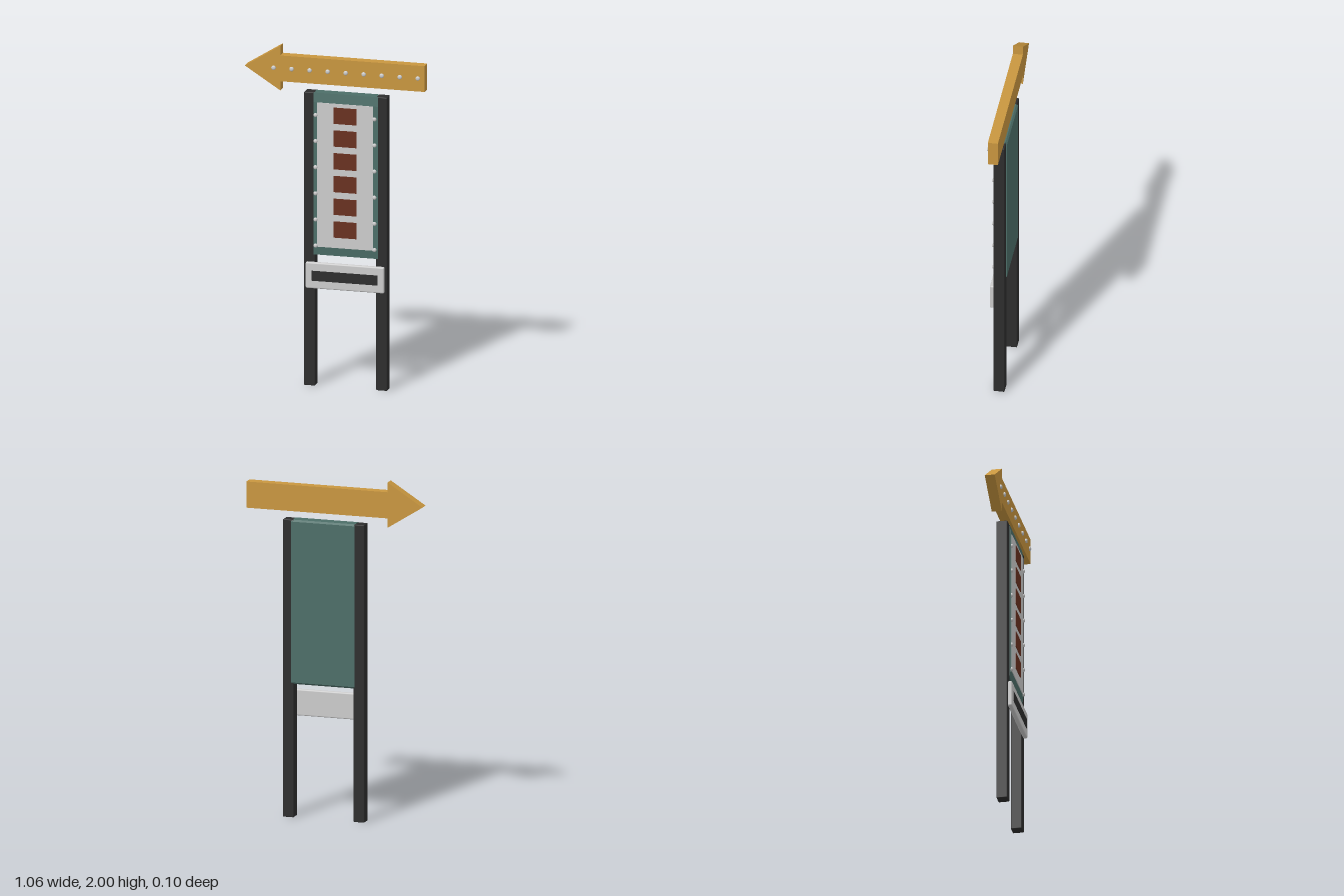
import * as THREE from 'three';
import { RoundedBoxGeometry } from 'three/addons/geometries/RoundedBoxGeometry.js';

const paint = (color) => new THREE.MeshStandardMaterial({ color });
const amber = paint(0xc8963f);
const green = paint(0x4c6e68);
const charcoal = paint(0x2d2d2d);
const brown = paint(0x68301f);
const grey = paint(0xcccccc);

export function createModel() {
  const model = new THREE.Group();

  const add = (name, geometry, material, x = 0, y = 0, z = 0) => {
    const mesh = new THREE.Mesh(geometry, material);
    mesh.name = name;
    mesh.position.set(x, y, z);
    model.add(mesh);
    return mesh;
  };

  // Box given by its limits, with optional rounded edges
  const block = (name, material, [x0, x1], [y0, y1], [z0, z1], radius = 0) => {
    const size = [x1 - x0, y1 - y0, z1 - z0];
    const geometry = radius
      ? new RoundedBoxGeometry(...size, 2, radius)
      : new THREE.BoxGeometry(...size);
    return add(name, geometry, material, (x0 + x1) / 2, (y0 + y1) / 2, (z0 + z1) / 2);
  };

  // Two square posts
  block('rightPost', charcoal, [-0.18, -0.115], [0, 1.74], [-0.045, 0.019], 0.005);
  block('leftPost', charcoal, [0.245, 0.31], [0, 1.74], [-0.045, 0.019], 0.005);

  // Backing board: a slab whose front and back faces are bevelled at top and bottom
  const profile = new THREE.Shape([
    [-0.04, 0.78], [0.02, 0.78], [0.027, 0.835], [0.027, 1.685], [0.02, 1.74],
    [-0.04, 1.74], [-0.05, 1.73], [-0.05, 0.79],
  ].map(([z, y]) => new THREE.Vector2(-z, y)));
  const board = new THREE.ExtrudeGeometry(profile, { depth: 0.38, bevelEnabled: false });
  board.rotateY(Math.PI / 2);
  add('backingBoard', board, green, -0.122);

  // Pale face plate with a column of square tiles
  block('facePlate', grey, [-0.1, 0.23], [0.83, 1.685], [0.02, 0.031]);
  for (let i = 0; i < 6; i++) {
    const y = 1.615 - i * 0.135;
    block('tile', brown, [0, 0.133], [y - 0.048, y + 0.048], [0.025, 0.035]);
  }

  // Domed studs: a short stem with a rounded front
  const stud = (r, h) => new THREE.LatheGeometry([
    [r, 0], [r, h * 0.5], [r * 0.8, h * 0.85], [r * 0.4, h], [0, h],
  ].map(([x, y]) => new THREE.Vector2(x, y)), 14).rotateX(Math.PI / 2);

  // Rivets down both edges of the face plate
  const rivet = stud(0.012, 0.016);
  for (const x of [-0.109, 0.238]) {
    for (let i = 0; i < 6; i++) add('rivet', rivet, grey, x, 1.61 - i * 0.155, 0.023);
  }

  // Crossbar with a dark inset strip
  block('crossbar', grey, [-0.165, 0.297], [0.583, 0.737], [0.016, 0.043], 0.008);
  block('crossbarStrip', charcoal, [-0.127, 0.26], [0.63, 0.689], [0.03, 0.046]);

  // Arrow on top, pointing to the model's right
  const outline = new THREE.Shape([
    [-0.53, 1.868], [-0.32, 1.735], [-0.32, 1.79], [0.53, 1.79],
    [0.53, 1.943], [-0.32, 1.943], [-0.32, 2],
  ].map(([x, y]) => new THREE.Vector2(x, y)));
  add('arrow', new THREE.ExtrudeGeometry(outline, { depth: 0.058, bevelEnabled: false }),
    amber, 0, 0, -0.044);

  // Row of bulbs along the arrow
  const bulb = stud(0.013, 0.011);
  for (let i = 0; i < 9; i++) add('bulb', bulb, grey, -0.36 + i * 0.1063, 1.868, 0.014);

  return model;
}
